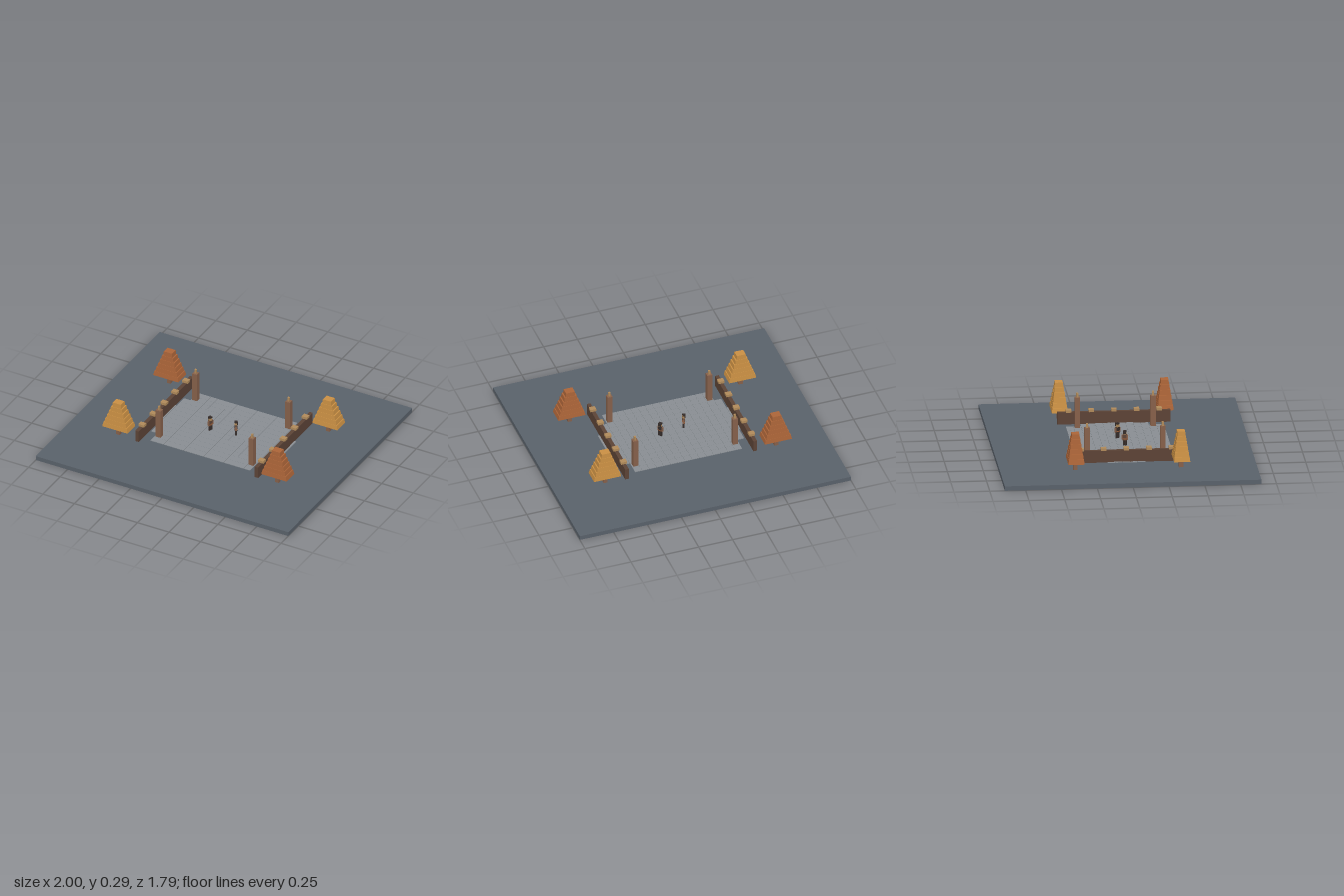
import * as THREE from 'three';

const mat = (name, color) => {
  const m = new THREE.MeshStandardMaterial({ color });
  m.name = name;
  return m;
};

export function createModel() {
  const slate = mat('slate ground', 0x59616a);
  const stone = mat('grey stone', 0x888d92);
  const darkWood = mat('dark wood', 0x5c4336);
  const wood = mat('wood', 0x86604a);
  const tan = mat('tan', 0xb08a5a);
  const gold = mat('golden leaves', 0xc98f43);
  const rust = mat('rust leaves', 0xab6438);
  const dark = mat('dark cloth', 0x352c2a);

  const root = new THREE.Group();
  root.name = 'courtyard';
  const GROUND = 0.032;

  const group = (name, x, z, parent = root) => {
    const g = new THREE.Group();
    g.name = name;
    g.position.set(x, 0, z);
    parent.add(g);
    return g;
  };
  // Box given by its size, centre and bottom height
  const box = (parent, name, m, w, h, d, x, y, z) => {
    const mesh = new THREE.Mesh(new THREE.BoxGeometry(w, h, d), m);
    mesh.name = name;
    mesh.position.set(x, y + h / 2, z);
    parent.add(mesh);
    return mesh;
  };

  box(root, 'ground', slate, 2, GROUND, 1.79, 0, 0, 0);

  // Paving: a clipped disc of square slabs
  const paving = group('paving', 0, 0);
  const pitch = 0.0527;
  for (let i = -9; i <= 9; i++) {
    for (let j = -6; j <= 6; j++) {
      if (i * i + j * j > 86) continue;
      box(paving, 'slab', stone, 0.0515, 0.005, 0.0515, i * pitch, GROUND - 0.001, j * pitch);
    }
  }

  // Side walls with capping blocks
  for (const s of [-1, 1]) {
    const wall = group('wall', s * 0.473, 0);
    box(wall, 'wallPanel', darkWood, 0.027, 0.086, 0.79, 0, GROUND, 0);
    for (const z of [-0.316, -0.158, 0, 0.158, 0.316]) {
      box(wall, 'wallCap', tan, 0.043, 0.018, 0.037, 0, 0.118, z);
    }
  }

  // Corner posts with small finials
  for (const sx of [-1, 1]) {
    for (const sz of [-1, 1]) {
      const post = group('cornerPost', sx * 0.368, sz * 0.264);
      box(post, 'postShaft', wood, 0.037, 0.222, 0.037, 0, GROUND, 0);
      box(post, 'postFinial', tan, 0.014, 0.031, 0.014, 0, 0.254, 0);
    }
  }

  // Stepped trees: stacked tapering blocks on a square trunk
  const tier = (w, d, h, taper) => {
    const geo = new THREE.BoxGeometry(w, h, d);
    const p = geo.attributes.position;
    for (let i = 0; i < p.count; i++) {
      if (p.getY(i) > 0) {
        p.setX(i, p.getX(i) * taper);
        p.setZ(i, p.getZ(i) * taper);
      }
    }
    geo.computeVertexNormals();
    return geo;
  };
  const tree = (x, z, leaves) => {
    const g = group('tree', x, z);
    box(g, 'trunk', wood, 0.03, 0.08, 0.03, 0, GROUND, 0);
    const n = 6, h = 0.0335;
    for (let k = 0; k < n; k++) {
      const t = k / (n - 1);
      const w = THREE.MathUtils.lerp(0.2, 0.07, t);
      const d = THREE.MathUtils.lerp(0.113, 0.058, t);
      const mesh = new THREE.Mesh(tier(w, d, h, 0.93), leaves);
      mesh.name = 'foliageTier';
      mesh.position.y = 0.094 + h * (k + 0.5);
      g.add(mesh);
    }
  };
  tree(-0.633, 0.367, gold);
  tree(0.627, -0.37, gold);
  tree(-0.633, -0.37, rust);
  tree(0.627, 0.367, rust);

  // Two small standing figures facing one another
  const figure = (x, z, turn, cloth) => {
    const g = group('figure', x, z);
    g.rotation.y = turn;
    for (const s of [-1, 1]) {
      box(g, 'leg', dark, 0.011, 0.037, 0.014, s * 0.007, 0.036, 0);
      box(g, 'arm', wood, 0.008, 0.034, 0.012, s * 0.018, 0.078, 0.002);
    }
    box(g, 'torso', cloth, 0.028, 0.042, 0.019, 0, 0.073, 0);
    box(g, 'belt', rust, 0.029, 0.006, 0.02, 0, 0.082, 0);
    box(g, 'head', tan, 0.018, 0.02, 0.018, 0, 0.115, 0.001);
    box(g, 'hair', dark, 0.021, 0.011, 0.021, 0, 0.134, -0.001);
    box(g, 'hairBack', dark, 0.021, 0.014, 0.005, 0, 0.12, -0.009);
  };
  figure(-0.095, 0.025, Math.PI / 2 - 0.3, darkWood);
  figure(0.09, -0.01, -Math.PI / 2 + 0.6, dark);

  return root;
}
